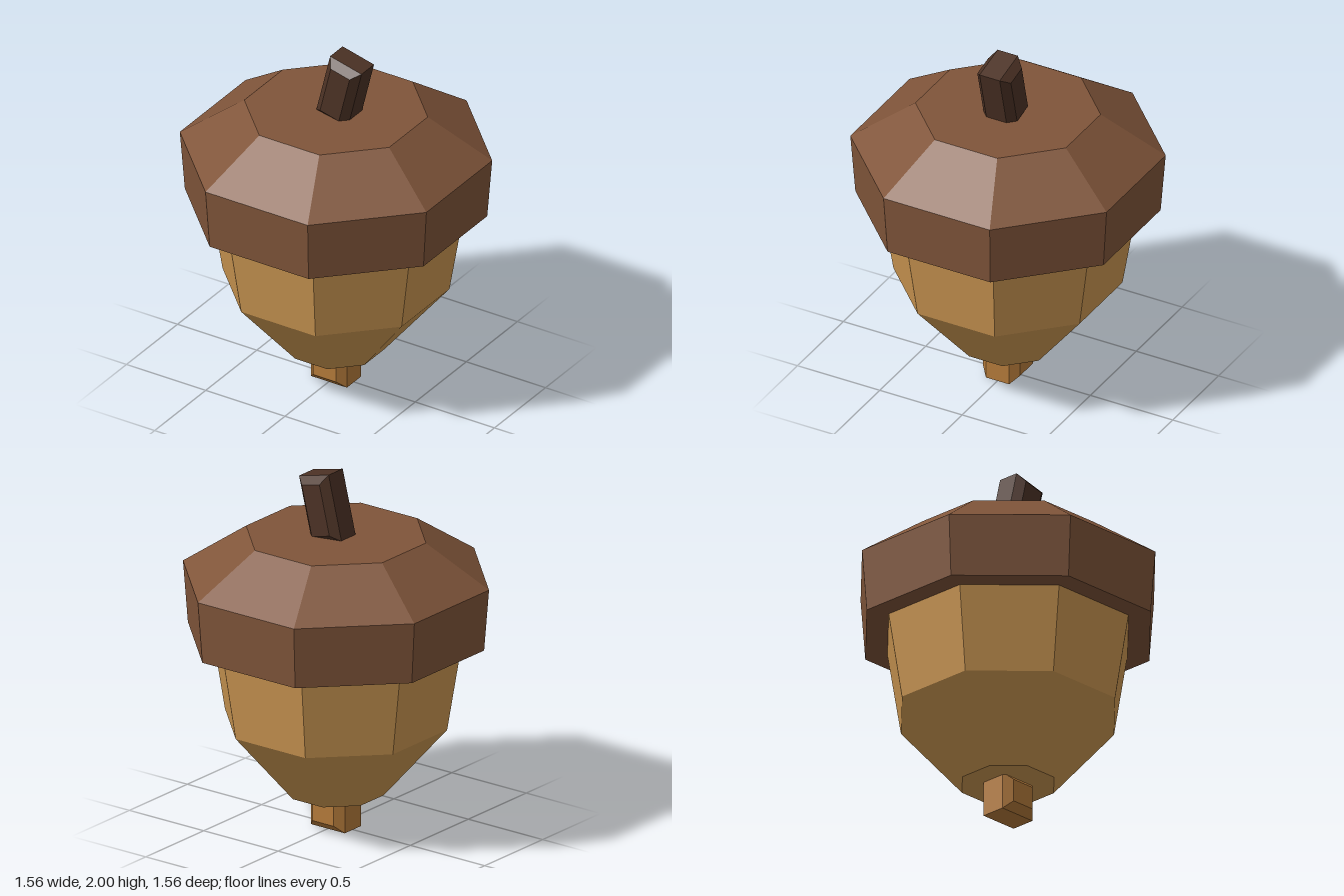
import * as THREE from 'three';

const material = (color) => new THREE.MeshStandardMaterial({ color, flatShading: true });

// Eight-sided solid with flats facing the axes; profile is [apothem, y] from bottom to top
function octagonSolid(name, profile, color) {
  const k = 1 / Math.cos(Math.PI / 8);
  const points = profile.map(([a, y]) => new THREE.Vector2(a * k, y));
  const mesh = new THREE.Mesh(new THREE.LatheGeometry(points, 8, Math.PI / 8), material(color));
  mesh.name = name;
  return mesh;
}

// Block whose front and back faces are bevelled inwards
function bevelledBlock(name, width, height, depth, bevel, color) {
  const w = width / 2, h = height / 2;
  const shape = new THREE.Shape([
    new THREE.Vector2(-w, -h), new THREE.Vector2(w, -h),
    new THREE.Vector2(w, h), new THREE.Vector2(-w, h),
  ]);
  const core = depth - 2 * bevel;
  const geometry = new THREE.ExtrudeGeometry(shape, {
    depth: core, bevelEnabled: true, bevelSegments: 1,
    bevelThickness: bevel, bevelSize: bevel, bevelOffset: -bevel,
  });
  geometry.translate(0, 0, -core / 2);
  const mesh = new THREE.Mesh(geometry, material(color));
  mesh.name = name;
  return mesh;
}

export function createModel() {
  const model = new THREE.Group();
  model.name = 'acorn';

  // Nut body, its top hidden inside the cap
  const nut = octagonSolid('nut', [[0, 0.195], [0.243, 0.195], [0.565, 0.6], [0.636, 1.07], [0.64, 1.1], [0, 1.1]], 0xcc9752);

  // Cap with overhanging rim, sloped shoulder and flat top
  const cap = octagonSolid('cap', [[0, 1.07], [0.753, 1.07], [0.778, 1.415], [0.457, 1.647], [0, 1.647]], 0x80553a);

  // Small tip under the nut
  const tip = bevelledBlock('tip', 0.228, 0.21, 0.224, 0.042, 0xb47a3a);
  tip.position.y = 0.105;

  // Leaning stem
  const stem = bevelledBlock('stem', 0.204, 0.366, 0.204, 0.041, 0x4c3225);
  stem.position.set(0.058, 1.798, 0);
  stem.rotation.z = -0.24;

  model.add(nut, cap, tip, stem);
  return model;
}
